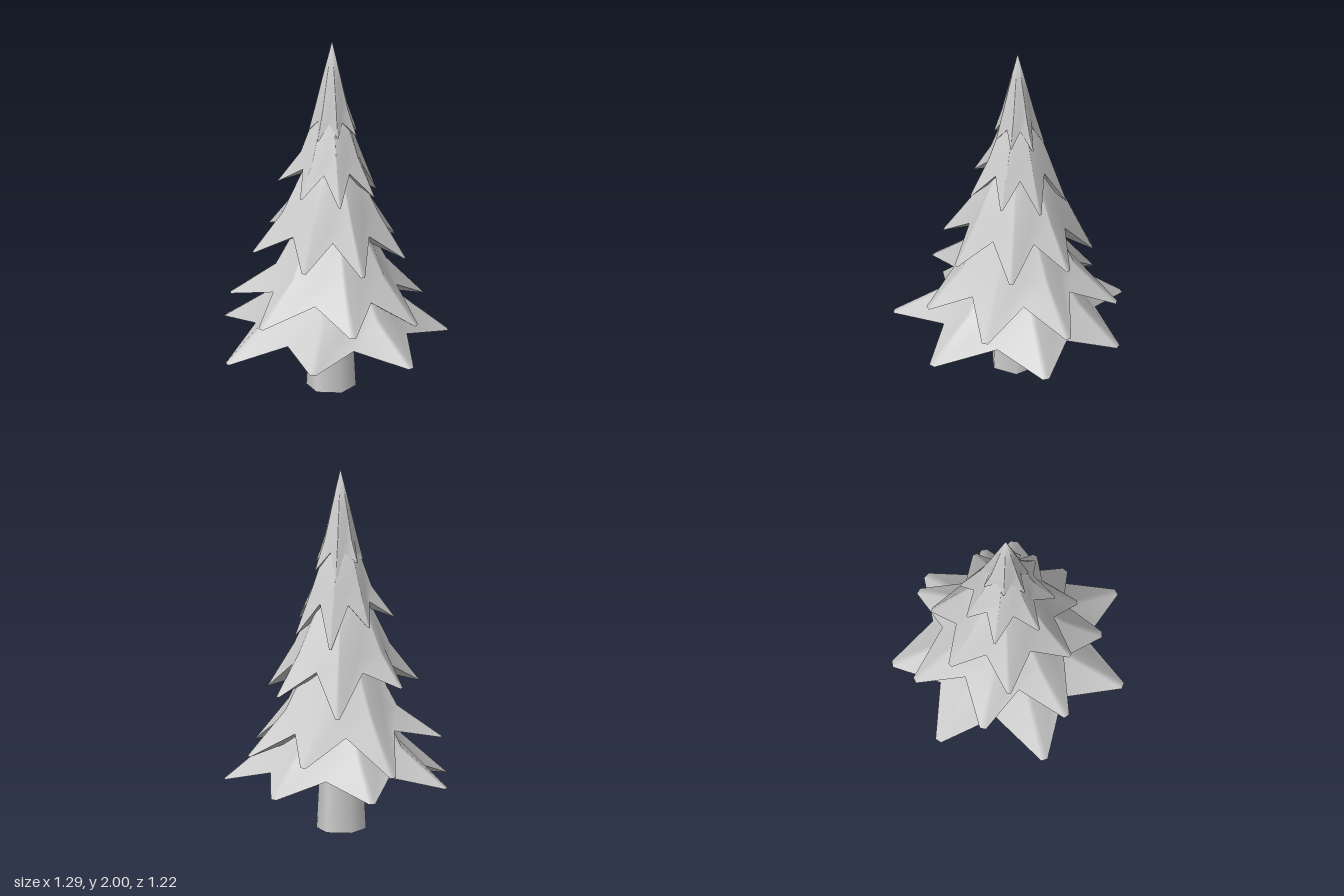
import * as THREE from 'three';

const material = new THREE.MeshStandardMaterial({ color: 0xcccccc });

// Each tier: branch tips [x, z, y] around the tree, the valleys between them,
// the rings [radius, y] above, and the height of its peak.
const tiers = [
  { cx: 0, blunt: 0.036, valley: [0.425, 0.36], rings: [[0.375, 0.49], [0.24, 0.7]], peak: 0.92,
    tips: [[-0.01, -0.61, 0.28], [0.46, -0.41, 0.29], [0.64, 0.19, 0.305], [0.28, 0.6, 0.32],
      [-0.3, 0.58, 0.24], [-0.64, 0.11, 0.29], [-0.5, -0.38, 0.28]] },
  { cx: -0.01, blunt: 0.034, valley: [0.345, 0.585], rings: [[0.31, 0.69], [0.19, 0.92]], peak: 1.12,
    tips: [[-0.15, -0.53, 0.46], [0.27, -0.45, 0.45], [0.5, -0.06, 0.44], [0.37, 0.35, 0.47],
      [-0.1, 0.55, 0.48], [-0.48, 0.29, 0.52], [-0.51, -0.2, 0.39]] },
  { cx: -0.025, blunt: 0.024, valley: [0.27, 0.925], rings: [[0.265, 1.02], [0.16, 1.24]], peak: 1.42,
    tips: [[-0.24, -0.34, 0.705], [0.13, -0.38, 0.785], [0.36, -0.15, 0.77], [0.33, 0.2, 0.765],
      [0.08, 0.4, 0.795], [-0.31, 0.32, 0.805], [-0.43, -0.01, 0.84]] },
  { cx: -0.02, blunt: 0.012, valley: [0.17, 1.28], rings: [[0.165, 1.35], [0.105, 1.52]], peak: 1.68,
    tips: [[-0.12, -0.24, 1.055], [0.13, -0.21, 1.1], [0.24, -0.03, 1.14], [0.17, 0.19, 1.13],
      [-0.03, 0.27, 1.16], [-0.26, 0.16, 1.18], [-0.25, -0.06, 1.16]] },
  { cx: -0.015, blunt: 0.006, valley: [0.088, 1.55], rings: [[0.092, 1.62], [0.052, 1.79]], peak: 2,
    tips: [[-0.08, -0.13, 1.42], [0.06, -0.13, 1.45], [0.125, -0.03, 1.47], [0.08, 0.08, 1.48],
      [-0.01, 0.14, 1.46], [-0.11, 0.08, 1.49], [-0.15, -0.03, 1.5]] },
];

function toGeometry(points, index) {
  const geometry = new THREE.BufferGeometry().setFromPoints(points);
  geometry.setIndex(index);
  geometry.computeVertexNormals();
  return geometry;
}

// Star-shaped outer edge: two corners per blunt tip, then one valley
function starRim({ cx, blunt, valley, tips }) {
  const rim = [];
  tips.forEach(([x, z, y], i) => {
    const next = tips[(i + 1) % tips.length];
    const angle = Math.atan2(z, x - cx);
    let nextAngle = Math.atan2(next[1], next[0] - cx);
    if (nextAngle < angle) nextAngle += Math.PI * 2;
    for (const side of [-0.5, 0.5]) {
      const s = side * blunt;
      rim.push({ angle: angle + s * 2, tip: true,
        point: new THREE.Vector3(x - Math.sin(angle) * s, y, z + Math.cos(angle) * s) });
    }
    const mid = (angle + nextAngle) / 2;
    rim.push({ angle: mid, tip: false,
      point: new THREE.Vector3(cx + Math.cos(mid) * valley[0], valley[1], Math.sin(mid) * valley[0]) });
  });
  return rim;
}

function buildTier(tier) {
  const rim = starRim(tier);
  const n = rim.length;
  const points = rim.map((v) => v.point);

  // Flared skirt: ridged ring, rounder ring, then the peak
  tier.rings.forEach(([radius, y], level) => {
    for (const { angle, tip } of rim) {
      const r = radius * (tip ? 1 : [0.88, 0.94][level]);
      points.push(new THREE.Vector3(tier.cx + Math.cos(angle) * r, y, Math.sin(angle) * r));
    }
  });
  const peak = points.length;
  points.push(new THREE.Vector3(tier.cx, tier.peak, 0));
  const index = [];
  for (let i = 0; i < n; i++) {
    const j = (i + 1) % n;
    for (let row = 0; row < 2 * n; row += n) {
      index.push(row + i, row + n + i, row + j, row + j, row + n + i, row + n + j);
    }
    index.push(2 * n + i, peak, 2 * n + j);
  }
  const skirt = new THREE.Mesh(toGeometry(points, index), material);
  skirt.name = 'branchSkirt';

  // Underside closing the tier
  const under = [...rim.map((v) => v.point.clone()), new THREE.Vector3(tier.cx, tier.valley[1], 0)];
  const underIndex = [];
  for (let i = 0; i < n; i++) underIndex.push(n, i, (i + 1) % n);
  const underside = new THREE.Mesh(toGeometry(under, underIndex), material);
  underside.name = 'branchUnderside';

  const group = new THREE.Group();
  group.add(skirt, underside);
  return group;
}

export function createModel() {
  const tree = new THREE.Group();
  tree.name = 'pineTree';

  // Six-sided tapering trunk
  const trunk = new THREE.Mesh(new THREE.CylinderGeometry(0.113, 0.135, 0.42, 6), material);
  trunk.name = 'trunk';
  trunk.position.set(-0.01, 0.21, 0.015);
  tree.add(trunk);

  // Branch tiers from bottom to top
  tiers.forEach((tier, i) => {
    const group = buildTier(tier);
    group.name = `branchTier${i + 1}`;
    tree.add(group);
  });
  return tree;
}
